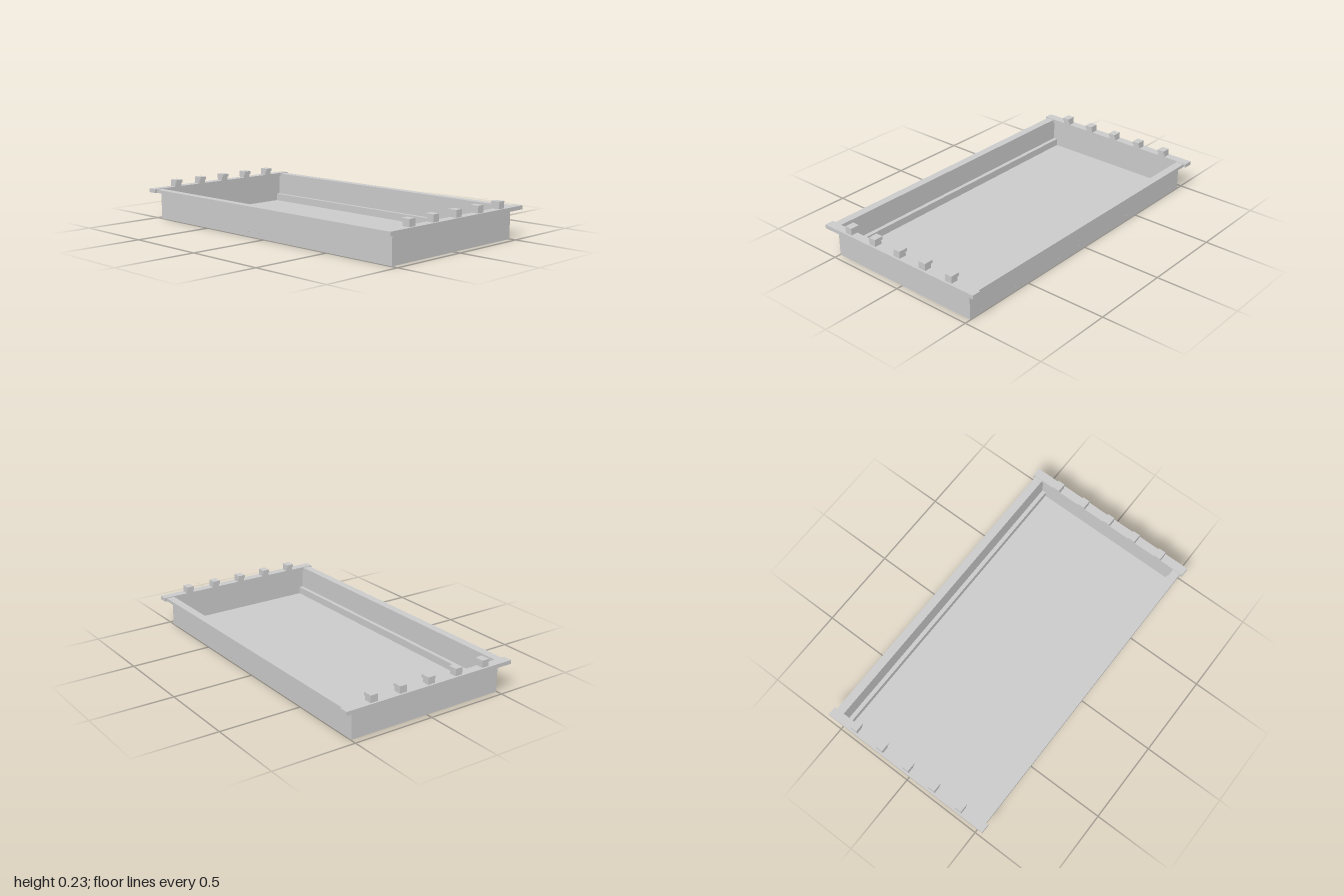
import * as THREE from 'three';

export function createModel() {
  const group = new THREE.Group();
  group.name = 'tray';
  const mat = new THREE.MeshStandardMaterial({ color: 0xcccccc, flatShading: true });

  // Box given by its lower and upper corners
  const box = (name, x0, x1, y0, y1, z0, z1) => {
    const mesh = new THREE.Mesh(new THREE.BoxGeometry(x1 - x0, y1 - y0, z1 - z0), mat);
    mesh.position.set((x0 + x1) / 2, (y0 + y1) / 2, (z0 + z1) / 2);
    mesh.name = name;
    group.add(mesh);
    return mesh;
  };
  // Box placed by its distance from the middle, on the side s (+1 or -1)
  const sideX = (name, s, a, b, y0, y1, z0, z1) =>
    box(name, Math.min(s * a, s * b), Math.max(s * a, s * b), y0, y1, z0, z1);
  const sideZ = (name, s, a, b, y0, y1, x0, x1) =>
    box(name, x0, x1, y0, y1, Math.min(s * a, s * b), Math.max(s * a, s * b));

  const W = 0.96, D = 0.497, T = 0.005, H = 0.168;

  // Sheet floor
  box('floor', -W, W, 0, T, -D, D);

  const rivetGeo = new THREE.CylinderGeometry(0.003, 0.003, 0.002, 8).rotateX(Math.PI / 2);

  for (const s of [1, -1]) {
    // Thin walls
    sideX('endWall', s, W - T, W, T, H, -D, D);
    sideZ('longWall', s, D - T, D, T, H, -W + T, W - T);

    // Ledge along the foot of each long wall
    sideZ('innerLedge', s, 0.467, D - T, T, 0.05, -W + T, W - T);

    // Flat rim on the long sides, with the wall edge showing inside it
    sideZ('longRim', s, D, 0.542, H, 0.187, -0.945, 0.945);
    sideZ('rimLip', s, D - T, D, H, 0.187, -0.945, 0.945);

    // End rails overhang the rim at the corners
    sideX('endRail', s, 0.945, 1, H, 0.191, -0.557, 0.557);

    // Five hooks on each rail, with caps reaching inwards
    for (const z of [-0.377, -0.188, 0, 0.188, 0.377]) {
      sideX('hookPost', s, 0.943, 0.988, 0.191, 0.214, z - 0.023, z + 0.023);
      sideX('hookCap', s, 0.932, 0.988, 0.214, 0.233, z - 0.023, z + 0.023);
    }

    // Small rivets holding the ledge
    for (let i = 0; i < 20; i++) {
      const rivet = new THREE.Mesh(rivetGeo, mat);
      rivet.name = 'rivet';
      rivet.position.set(-0.88 + (i * 1.76) / 19, 0.03, s * D);
      group.add(rivet);
    }
  }
  return group;
}
